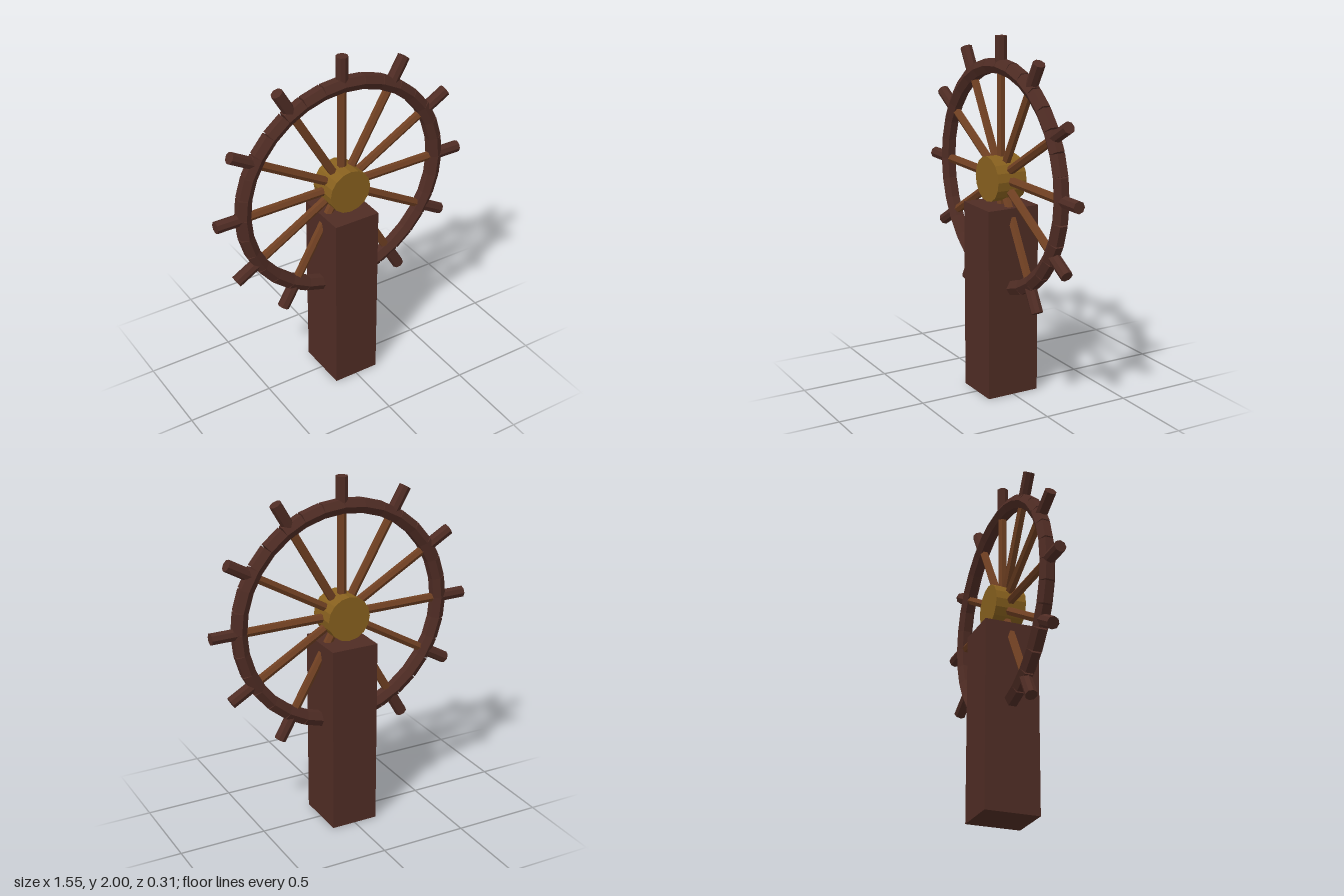
import * as THREE from 'three';

export function createModel() {
  const mat = (name, color) => {
    const m = new THREE.MeshStandardMaterial({ color, flatShading: true });
    m.name = name;
    return m;
  };
  const darkWood = mat('dark wood', 0x4f2c24);
  const spokeWood = mat('spoke wood', 0x704022);
  const brass = mat('brass', 0x87601e);

  const model = new THREE.Group();
  model.name = 'shipWheel';
  const add = (parent, name, geometry, material) => {
    const mesh = new THREE.Mesh(geometry, material);
    mesh.name = name;
    parent.add(mesh);
    return mesh;
  };

  // Pedestal
  add(model, 'post', new THREE.BoxGeometry(0.274, 1.08, 0.312), darkWood).position.y = 0.54;

  const wheel = new THREE.Group();
  wheel.name = 'wheel';
  wheel.position.y = 1.225;
  model.add(wheel);

  // Hub along z
  add(wheel, 'hub', new THREE.CylinderGeometry(0.126, 0.126, 0.176, 16), brass).rotation.x = Math.PI / 2;

  // Rim of short straight staves, with small notches at the outer joints
  const staves = 32, rimRadius = 0.61;
  const staveGeo = new THREE.CylinderGeometry(0.045, 0.045, 2 * rimRadius * Math.sin(Math.PI / staves), 6);
  for (let i = 0; i < staves; i++) {
    const a = ((i + 0.5) / staves) * Math.PI * 2;
    const stave = add(wheel, 'rimStave', staveGeo, darkWood);
    stave.position.set(Math.cos(a) * rimRadius, Math.sin(a) * rimRadius, 0);
    stave.rotation.z = a;
  }

  // Twelve spokes, each with a handle outside the rim
  const spokeGeo = new THREE.CylinderGeometry(0.025, 0.025, 0.6, 6).translate(0, 0.3, 0);
  const handleGeo = new THREE.CylinderGeometry(0.034, 0.034, 0.175, 8).translate(0, 0.6875, 0);
  for (let i = 0; i < 12; i++) {
    const a = (i / 12) * Math.PI * 2;
    add(wheel, 'spoke', spokeGeo, spokeWood).rotation.z = a;
    add(wheel, 'handle', handleGeo, darkWood).rotation.z = a;
  }
  return model;
}
